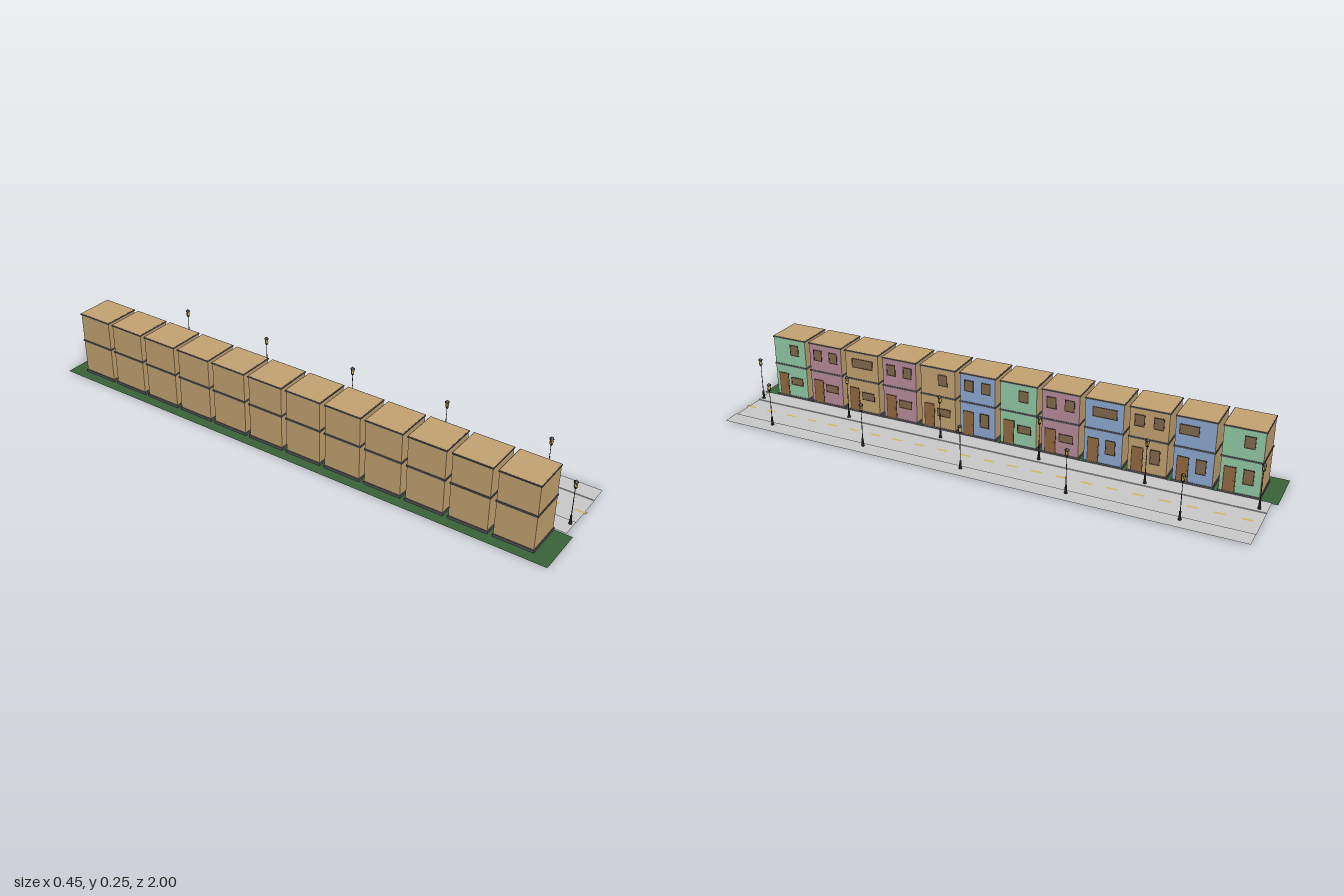
import * as THREE from 'three';

const mat = (color, side = THREE.FrontSide) => new THREE.MeshStandardMaterial({ color, side });
const TAN = 0xc4a472;
const M = {
  tan: mat(TAN), green: mat(0x93cca5), pink: mat(0xb98d9c), blue: mat(0x8eabd3),
  slab: mat(0x55555a), frame: mat(0x4a3a2a), pane: mat(0x84694c), door: mat(0x946a42),
  brass: mat(0xd0a840), iron: mat(0x1c1c1e), glass: mat(0xd8bc62),
  grass: mat(0x3a643a, THREE.DoubleSide), paving: mat(0xcccccc, THREE.DoubleSide),
  paint: mat(0xd2ba62, THREE.DoubleSide),
};

function add(parent, name, geometry, material, x = 0, y = 0, z = 0) {
  const mesh = new THREE.Mesh(geometry, material);
  mesh.name = name;
  mesh.position.set(x, y, z);
  parent.add(mesh);
  return mesh;
}

// Box given by its extents on x, y and z
function block(parent, name, material, [x0, x1], [y0, y1], [z0, z1]) {
  return add(parent, name, new THREE.BoxGeometry(x1 - x0, y1 - y0, z1 - z0), material,
    (x0 + x1) / 2, (y0 + y1) / 2, (z0 + z1) / 2);
}

// Flat ground sheet
function sheet(parent, name, material, [x0, x1], y, [z0, z1]) {
  const g = new THREE.PlaneGeometry(x1 - x0, z1 - z0).rotateX(-Math.PI / 2);
  return add(parent, name, g, material, (x0 + x1) / 2, y, (z0 + z1) / 2);
}

const FACE = -0.052, HALF = 0.0685;

// Framed window; a is the distance from the house's +z edge, w the width
function addWindow(house, a, w, y0, y1) {
  const z1 = 0.07 - a, z0 = z1 - w, f = 0.003;
  block(house, 'windowPane', M.pane, [FACE, FACE + 0.001], [y0 + f, y1 - f], [z0 + f, z1 - f]);
  for (const z of [z0, z1 - f])
    block(house, 'windowJamb', M.frame, [FACE, FACE + 0.002], [y0, y1], [z, z + f]);
  for (const y of [y0, y1 - f])
    block(house, 'windowRail', M.frame, [FACE, FACE + 0.002], [y, y + f], [z0 + f, z1 - f]);
}

function makeHouse(color, upper, lower) {
  const house = new THREE.Group();
  house.name = 'house';
  block(house, 'walls', M.tan, [-0.188, FACE - 0.001], [0.002, 0.248], [-HALF, HALF]);
  block(house, 'facade', M[color], [FACE - 0.001, FACE], [0.010, 0.2435], [-HALF, HALF]);
  // Dark slabs at the foot, between floors and under the roof
  for (const [name, y0, y1] of [['plinth', 0.001, 0.011], ['floorBand', 0.133, 0.139], ['cornice', 0.243, 0.2475]])
    block(house, name, M.slab, [-0.191, -0.05], [y0, y1], [-0.071, 0.071]);

  // Door with frame and knob
  block(house, 'doorFrame', M.frame, [FACE, FACE + 0.0008], [0.011, 0.103], [0.015, 0.057]);
  block(house, 'door', M.door, [FACE, FACE + 0.0014], [0.007, 0.1], [0.018, 0.054]);
  add(house, 'doorKnob', new THREE.SphereGeometry(0.002, 8, 6), M.brass, FACE + 0.002, 0.052, 0.022);

  // Upper floor: one, two or one wide window
  if (upper === 'one') addWindow(house, 0.071, 0.037, 0.179, 0.223);
  if (upper === 'two') for (const a of [0.018, 0.085]) addWindow(house, a, 0.036, 0.179, 0.223);
  if (upper === 'wide') addWindow(house, 0.028, 0.088, 0.183, 0.22);
  if (upper === 'wideLeft') addWindow(house, 0.014, 0.068, 0.183, 0.22);
  // Ground floor: low broad window or tall narrow one
  if (lower === 'broad') addWindow(house, 0.066, 0.053, 0.058, 0.09);
  else addWindow(house, 0.078, 0.036, 0.048, 0.103);
  return house;
}

const profile = (pts, n) => new THREE.LatheGeometry(pts.map(([r, y]) => new THREE.Vector2(r, y)), n);
const LAMP = {
  // Flared foot and slim stepped pole
  post: profile([[0, 0.003], [0.006, 0.003], [0.006, 0.006], [0.0046, 0.008], [0.0032, 0.031], [0.0036, 0.032],
    [0.0034, 0.034], [0.0014, 0.035], [0.0013, 0.092], [0.002, 0.093], [0.002, 0.095], [0.001, 0.096], [0.001, 0.138]], 12),
  cup: profile([[0.001, 0.136], [0.003, 0.139], [0.0058, 0.143], [0.0058, 0.145], [0, 0.145]], 6),
  glass: new THREE.CylinderGeometry(0.0062, 0.005, 0.018, 6),
  roof: profile([[0, 0.162], [0.0085, 0.162], [0.0082, 0.164], [0.003, 0.169], [0.0012, 0.17], [0, 0.172]], 6),
  bar: new THREE.CylinderGeometry(0.0006, 0.0006, 0.018, 4),
};

function makeLamp(x, z) {
  const lamp = new THREE.Group();
  lamp.name = 'streetLamp';
  lamp.position.set(x, 0, z);
  add(lamp, 'lampPost', LAMP.post, M.iron);
  add(lamp, 'lanternCup', LAMP.cup, M.iron);
  add(lamp, 'lanternGlass', LAMP.glass, M.glass, 0, 0.1535, 0);
  add(lamp, 'lanternRoof', LAMP.roof, M.iron);
  for (let i = 0; i < 6; i++) {
    const a = i * Math.PI / 3;
    add(lamp, 'lanternBar', LAMP.bar, M.iron, 0.0058 * Math.sin(a), 0.1535, 0.0058 * Math.cos(a));
  }
  return lamp;
}

export function createModel() {
  const model = new THREE.Group();
  model.name = 'terraceStreet';

  // Ground: lawn, pavements with kerbs, road and dashed centre line
  const run = [-0.98, 0.978];
  sheet(model, 'lawn', M.grass, [-0.229, -0.05], 0, [-1, 1]);
  sheet(model, 'road', M.paving, [0.02, 0.16], 0.001, run);
  sheet(model, 'housePavement', M.paving, [-0.05, 0.02], 0.004, run);
  sheet(model, 'farPavement', M.paving, [0.16, 0.225], 0.004, run);
  for (const x of [0.02, 0.16]) {
    const kerb = new THREE.PlaneGeometry(run[1] - run[0], 0.003).rotateY(Math.PI / 2);
    add(model, 'kerb', kerb, M.paving, x, 0.0025, -0.001);
  }
  for (let i = 0; i < 22; i++) {
    const z = -0.935 + i * 0.0905;
    sheet(model, 'laneDash', M.paint, [0.078, 0.088], 0.0018, [z - 0.02, z + 0.02]);
  }

  // Row of houses from +z to -z: facade colour, upper windows, ground window
  const row = [
    ['green', 'one', 'broad'], ['pink', 'two', 'broad'], ['tan', 'wide', 'broad'], ['pink', 'two', 'broad'],
    ['tan', 'one', 'broad'], ['blue', 'two', 'tall'], ['green', 'one', 'broad'], ['pink', 'two', 'broad'],
    ['blue', 'wide', 'tall'], ['tan', 'two', 'tall'], ['blue', 'wideLeft', 'tall'], ['green', 'one', 'tall'],
  ];
  row.forEach((spec, i) => {
    const house = makeHouse(...spec);
    house.position.z = 0.866 - i * 0.1578;
    model.add(house);
  });

  // Lamps staggered along both pavements
  for (let i = 0; i < 6; i++) model.add(makeLamp(0.003, 0.966 - i * 0.3835));
  for (let i = 0; i < 5; i++) model.add(makeLamp(0.178, 0.802 - i * 0.386));
  return model;
}
